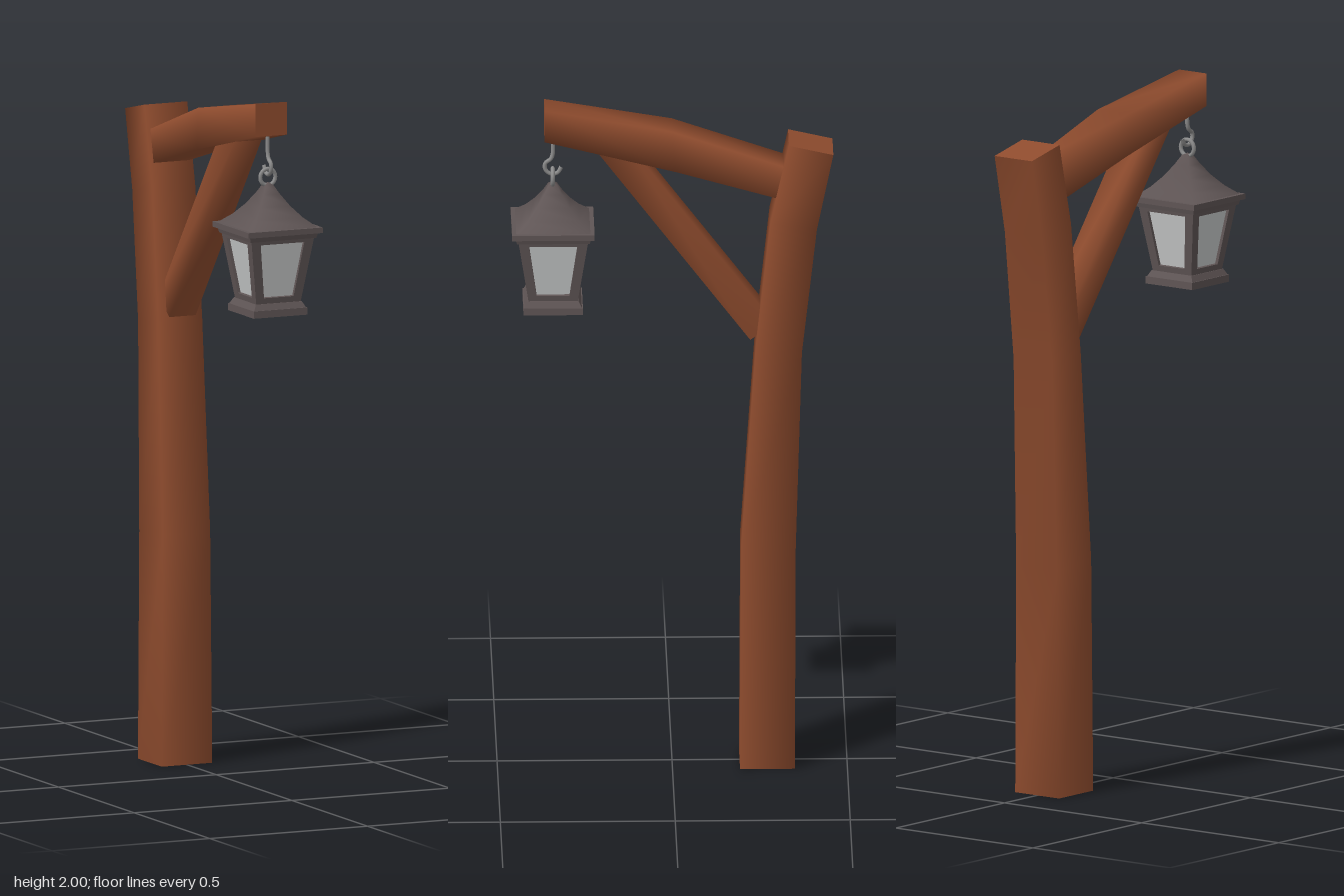
import * as THREE from 'three';

const mat = (name, color, side = THREE.FrontSide) => {
  const m = new THREE.MeshStandardMaterial({ color, side });
  m.name = name;
  return m;
};

// Four-sided beam, smooth round its sides with flat ends.
// Each section: half width in x, then [z, y] of its two edges.
function beam(sections) {
  const pos = [], side = [];
  const ring = ([w, p, q]) => [[w, p], [-w, p], [-w, q], [w, q]].map(([x, [z, y]]) => [x, y, z]);
  sections.forEach((s) => ring(s).forEach((v) => pos.push(...v)));
  for (let s = 0; s < sections.length - 1; s++) {
    for (let i = 0; i < 4; i++) {
      const a = s * 4 + i, b = s * 4 + (i + 1) % 4;
      side.push(a, a + 4, b, b, a + 4, b + 4);
    }
  }
  // separate corners for the two caps
  const n = sections.length * 4;
  ring(sections[0]).forEach((v) => pos.push(...v));
  ring(sections[sections.length - 1]).forEach((v) => pos.push(...v));
  side.push(n, n + 1, n + 2, n, n + 2, n + 3);
  side.push(n + 4, n + 6, n + 5, n + 4, n + 7, n + 6);
  const g = new THREE.BufferGeometry();
  g.setAttribute('position', new THREE.Float32BufferAttribute(pos, 3));
  g.setIndex(side);
  g.computeVertexNormals();
  return g;
}

// Square block tapering from one half width to another
function block(bottom, top, y0, y1, open = false) {
  const g = new THREE.CylinderGeometry(top * Math.SQRT2, bottom * Math.SQRT2, y1 - y0, 4, 1, open, Math.PI / 4);
  const flat = g.toNonIndexed();
  flat.computeVertexNormals();
  return flat.translate(0, (y0 + y1) / 2, 0);
}

export function createModel() {
  const wood = mat('wood', 0x8f4c2e);
  const iron = mat('darkIron', 0x5f5555);
  const steel = mat('hookSteel', 0x8c8c8c);
  const glass = mat('glass', 0xc6c8c8, THREE.DoubleSide);

  const model = new THREE.Group();
  model.name = 'lanternPost';
  const add = (parent, name, geometry, material) => {
    const m = new THREE.Mesh(geometry, material);
    m.name = name;
    parent.add(m);
    return m;
  };

  // Timber
  add(model, 'post', beam([
    [0.08, [-0.193, 0], [-0.35, 0]],
    [0.075, [-0.196, 0.67], [-0.352, 0.66]],
    [0.07, [-0.238, 1.28], [-0.37, 1.265]],
    [0.068, [-0.28, 1.66], [-0.413, 1.64]],
    [0.068, [-0.333, 1.896], [-0.46, 1.867]],
  ]), wood);
  add(model, 'arm', beam([
    [0.056, [-0.38, 1.708], [-0.36, 1.813]],
    [0.057, [-0.01, 1.814], [0, 1.936]],
    [0.05, [0.365, 1.905], [0.365, 2]],
  ]), wood);
  add(model, 'brace', beam([
    [0.042, [-0.223, 1.295], [-0.291, 1.347]],
    [0.042, [0.217, 1.874], [0.149, 1.926]],
  ]), wood);

  const lantern = new THREE.Group();
  lantern.name = 'lantern';
  lantern.position.z = 0.341;
  model.add(lantern);

  // Open hook hanging from the arm, and the ring it carries
  const hookPoints = [[0, 1.915], [0, 1.85], [0.006, 1.835], [0.021, 1.823], [0.021, 1.804],
    [0.005, 1.79], [-0.014, 1.794], [-0.025, 1.812]].map(([z, y]) => new THREE.Vector3(0, y, z));
  add(lantern, 'hook', new THREE.TubeGeometry(new THREE.CatmullRomCurve3(hookPoints), 32, 0.006, 8), steel);
  add(lantern, 'ring', new THREE.TorusGeometry(0.024, 0.006, 8, 20), steel).position.y = 1.782;

  // Flared roof and eaves
  const roof = [[0.106, 1.645], [0.075, 1.671], [0.048, 1.702], [0.026, 1.735], [0.012, 1.76], [0, 1.768]]
    .map(([r, y]) => new THREE.Vector2(r * Math.SQRT2, y));
  add(lantern, 'roof', new THREE.LatheGeometry(roof, 4, Math.PI / 4), iron);
  add(lantern, 'eave', block(0.118, 0.118, 1.629, 1.645), iron);
  add(lantern, 'eaveTrim', block(0.104, 0.108, 1.614, 1.629), iron);

  // Base plates
  add(lantern, 'base', block(0.085, 0.085, 1.39, 1.411), iron);
  add(lantern, 'baseTrim', block(0.082, 0.073, 1.411, 1.428), iron);

  // Glass set behind four leaning window frames
  add(lantern, 'glass', block(0.061, 0.09, 1.428, 1.615, true), glass);
  const run = 0.03, rise = 0.195, slant = Math.hypot(run, rise);
  const trapezoid = (path, y0, w0, y1, w1) => {
    path.moveTo(-w0, y0);
    path.lineTo(w0, y0);
    path.lineTo(w1, y1);
    path.lineTo(-w1, y1);
    path.closePath();
    return path;
  };
  const frame = trapezoid(new THREE.Shape(), 0, 0.07, slant, 0.1);
  frame.holes.push(trapezoid(new THREE.Path(), 0.02, 0.047, slant - 0.017, 0.069));
  const frameGeometry = new THREE.ExtrudeGeometry(frame, { depth: 0.014, bevelEnabled: false });
  frameGeometry.translate(0, 0, -0.014).rotateX(Math.atan2(run, rise)).translate(0, 1.425, 0.07);
  for (let i = 0; i < 4; i++) {
    add(lantern, 'windowFrame', frameGeometry, iron).rotation.y = i * Math.PI / 2;
  }
  return model;
}
